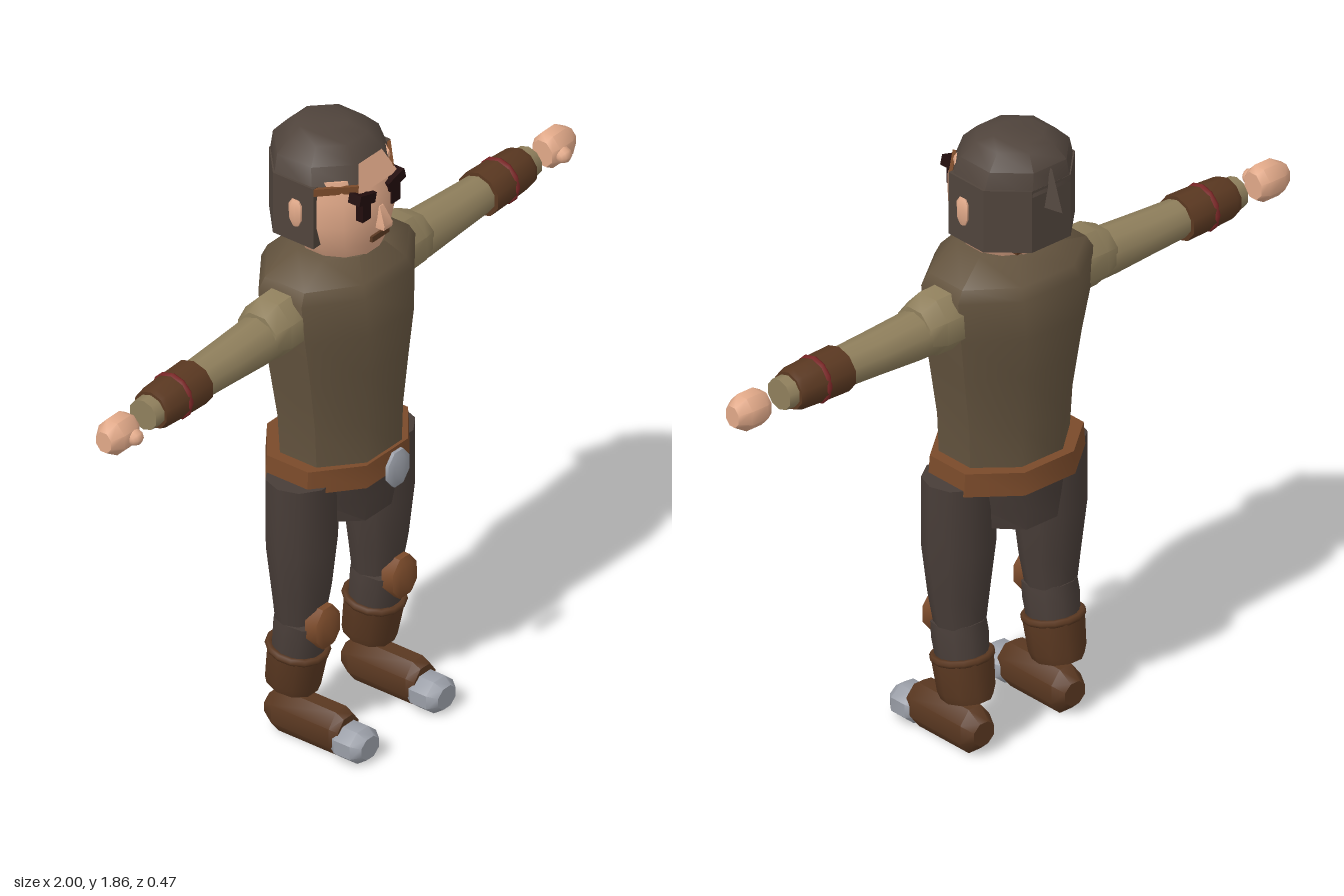
import * as THREE from 'three';
import { toCreasedNormals } from 'three/addons/utils/BufferGeometryUtils.js';

const flat = (name, color) => {
  const m = new THREE.MeshStandardMaterial({ color });
  m.name = name;
  return m;
};

// Closed tube along y. Each section: [y, halfWidthX, halfWidthZ, centreZ]; flats face the axes.
function loft(sections, n = 8, crease = 0.78) {
  const pos = [], index = [], k = 1 / Math.cos(Math.PI / n);
  for (const [y, rx, rz, cz = 0] of sections) {
    for (let j = 0; j < n; j++) {
      const a = ((j + 0.5) / n) * Math.PI * 2;
      pos.push(Math.sin(a) * rx * k, y, cz + Math.cos(a) * rz * k);
    }
  }
  const last = sections.length - 1;
  for (let i = 0; i < last; i++) {
    for (let j = 0; j < n; j++) {
      const a = i * n + j, b = i * n + ((j + 1) % n);
      index.push(a, b, a + n, b, b + n, a + n);
    }
  }
  for (let j = 1; j < n - 1; j++) {
    index.push(0, j + 1, j, last * n, last * n + j, last * n + j + 1);
  }
  const g = new THREE.BufferGeometry();
  g.setAttribute('position', new THREE.Float32BufferAttribute(pos, 3));
  g.setIndex(index);
  return toCreasedNormals(g, crease);
}

export function createModel() {
  const root = new THREE.Group();
  const skin = flat('skin', 0xe0a888), hair = flat('hair', 0x50443c);
  const vest = flat('vest', 0x63533e), sleeve = flat('sleeve', 0x8f7f5c);
  const trousers = flat('trousers', 0x483d38), leather = flat('leather', 0x7a4a2a);
  const boot = flat('boot leather', 0x5a3821), metal = flat('metal', 0x9a9ea7);
  const red = flat('red cord', 0x7a2626), dark = flat('dark', 0x220d0d);

  const add = (name, geo, mat, x = 0, y = 0, z = 0, parent = root) => {
    const m = new THREE.Mesh(geo, mat);
    m.name = name;
    m.position.set(x, y, z);
    parent.add(m);
    return m;
  };
  const box = (w, h, d) => new THREE.BoxGeometry(w, h, d);
  // Loft laid along +z; sections give [z, halfWidth, halfHeight]
  const addForward = (name, sections, mat, x, y) => {
    add(name, loft(sections), mat, x, y, 0).rotation.x = Math.PI / 2;
  };

  // Body
  add('vest', loft([
    [0.86, 0.18, 0.152], [1.0, 0.187, 0.157, -0.002], [1.17, 0.213, 0.172, -0.005],
    [1.3, 0.235, 0.187, -0.01], [1.42, 0.245, 0.18, -0.012], [1.455, 0.225, 0.165, -0.012],
    [1.51, 0.13, 0.11],
  ]), vest);
  add('belt', loft([[0.813, 0.22, 0.175, -0.01], [0.882, 0.215, 0.172, -0.01]]), leather);
  add('hips', loft([[0.68, 0.135, 0.142, -0.01], [0.75, 0.155, 0.15, -0.008], [0.83, 0.17, 0.158, -0.006]]), trousers);
  addForward('buckle', [[0.184, 0.03, 0.038], [0.193, 0.045, 0.054], [0.203, 0.045, 0.054], [0.211, 0.03, 0.038]], metal, 0, 0.848);

  // Head
  add('head', loft([
    [1.5, 0.105, 0.11], [1.55, 0.135, 0.13], [1.62, 0.154, 0.14], [1.7, 0.155, 0.14], [1.76, 0.145, 0.115],
  ], 12), skin);
  add('hairCrown', loft([
    [1.73, 0.165, 0.158, -0.033], [1.8, 0.145, 0.142, -0.043], [1.84, 0.105, 0.105, -0.045], [1.857, 0.07, 0.065, -0.06],
  ]), hair);
  const backHair = new THREE.Shape([
    [0.166, -0.04], [0.166, 0.1], [0.07, 0.19], [-0.07, 0.19], [-0.166, 0.1], [-0.166, -0.04],
  ].map(([x, y]) => new THREE.Vector2(x, y)));
  add('backHair', new THREE.ExtrudeGeometry(backHair, { depth: 0.19, bevelEnabled: false }), hair, 0, 1.56, 0)
    .rotation.x = -Math.PI / 2;
  add('napeHair', box(0.16, 0.03, 0.06), boot, 0, 1.55, -0.11);

  // Hair spike at the back, a flattened pyramid pointing down and backwards
  const spike = new THREE.ConeGeometry(0.045, 0.15, 4).rotateX(Math.PI);
  const p = spike.attributes.position;
  for (let i = 0; i < p.count; i++) {
    if (p.getY(i) < 0) p.setXYZ(i, 0, -0.06, -0.055);
    else p.setXYZ(i, p.getX(i) * 0.8, 0.06 - Math.abs(p.getX(i)) * 2.4, p.getZ(i) * 0.5 + 0.01);
  }
  add('hairSpike', toCreasedNormals(spike, 0.3), hair, 0, 1.735, -0.18);

  // Forehead showing between the hair edges
  const brow = new THREE.ShapeGeometry(new THREE.Shape([
    [-0.085, 1.725], [0.085, 1.725], [0.05, 1.8], [-0.05, 1.8],
  ].map(([x, y]) => new THREE.Vector2(x, y))));
  const bp = brow.attributes.position;
  for (let i = 0; i < bp.count; i++) bp.setZ(i, bp.getY(i) > 1.75 ? 0.103 : 0.131);
  brow.computeVertexNormals();
  add('forehead', brow, skin);

  add('nose', loft([[1.595, 0.018, 0.02], [1.61, 0.018, 0.022], [1.66, 0.008, 0.008, -0.01]], 4), skin, 0, 0, 0.145);
  add('mouth', box(0.074, 0.018, 0.03), boot, 0, 1.567, 0.126);

  for (const s of [1, -1]) {
    // Face details
    add('eyebrow', box(0.07, 0.03, 0.04), dark, s * 0.063, 1.71, 0.127).rotation.z = s * 0.25;
    add('eye', box(0.036, 0.06, 0.04), dark, s * 0.063, 1.672, 0.123);
    add('hairEdge', box(0.125, 0.022, 0.01), leather, s * 0.117, 1.738, 0.079).rotation.y = s * 0.75;
    add('ear', loft([[-0.04, 0.008, 0.01], [-0.02, 0.014, 0.02], [0.025, 0.014, 0.021], [0.04, 0.008, 0.012]]),
      skin, s * 0.166, 1.655, -0.02);

    // Arm, built along y and laid out sideways
    const arm = new THREE.Group();
    arm.name = s > 0 ? 'leftArm' : 'rightArm';
    arm.position.set(0, 1.335, -0.015);
    arm.rotation.z = -s * Math.PI / 2;
    root.add(arm);
    const shoulder = add('shoulder', loft([[0.18, 0.088, 0.08], [0.29, 0.085, 0.08], [0.34, 0.062, 0.065]]), sleeve, 0, 0, 0, arm);
    shoulder.position.x = -s * 0.015;
    add('sleeve', loft([[0.26, 0.066, 0.07], [0.36, 0.066, 0.066], [0.5, 0.057, 0.062],
      [0.62, 0.053, 0.055], [0.83, 0.043, 0.045]], 10), sleeve, 0, 0, 0, arm);
    add('armGuard', loft([[0.613, 0.063, 0.068], [0.7, 0.062, 0.064], [0.78, 0.058, 0.06], [0.797, 0.053, 0.055]], 10), boot, 0, 0, 0, arm);
    add('cord', new THREE.TorusGeometry(0.062, 0.009, 6, 12).rotateX(Math.PI / 2), red, 0, 0.703, 0, arm);
    add('hand', loft([[0.888, 0.038, 0.034], [0.91, 0.05, 0.045], [0.965, 0.05, 0.045], [1.0, 0.03, 0.026]]),
      skin, s * 0.005, 0, 0, arm);
    add('thumb', new THREE.SphereGeometry(0.024, 8, 6), skin, s * 0.007, 0.922, 0.046, arm);

    // Leg
    const x = s * 0.165;
    add('thigh', loft([[0.385, 0.073, 0.064, -0.004], [0.47, 0.084, 0.076], [0.62, 0.102, 0.09], [0.83, 0.1, 0.094]], 10), trousers, x);
    addForward('kneePad', [[0.05, 0.05, 0.062], [0.09, 0.05, 0.062], [0.103, 0.036, 0.045]], leather, x, 0.378);
    const calf = new THREE.Group();
    calf.name = 'lowerLeg';
    calf.position.set(x, 0.28, -0.014);
    calf.rotation.x = 0.16;
    root.add(calf);
    add('shin', loft([[-0.02, 0.07, 0.068], [0.06, 0.074, 0.076], [0.105, 0.07, 0.076]], 10), trousers, 0, 0, 0, calf);
    add('bootShaft', loft([[-0.125, 0.066, 0.072], [-0.1, 0.075, 0.077], [0, 0.081, 0.083]], 10), boot, 0, 0, 0, calf);
    add('bootRim', new THREE.TorusGeometry(0.08, 0.011, 6, 14).rotateX(Math.PI / 2), boot, 0, 0, 0, calf);

    // Foot with a metal toe cap
    addForward('foot', [[-0.102, 0.036, 0.034], [-0.065, 0.053, 0.067], [0.135, 0.053, 0.067], [0.16, 0.045, 0.052]], boot, x, 0.067);
    addForward('toeCap', [[0.135, 0.045, 0.038], [0.155, 0.057, 0.049], [0.21, 0.057, 0.049], [0.236, 0.038, 0.032]], metal, x, 0.05);
  }
  return root;
}
